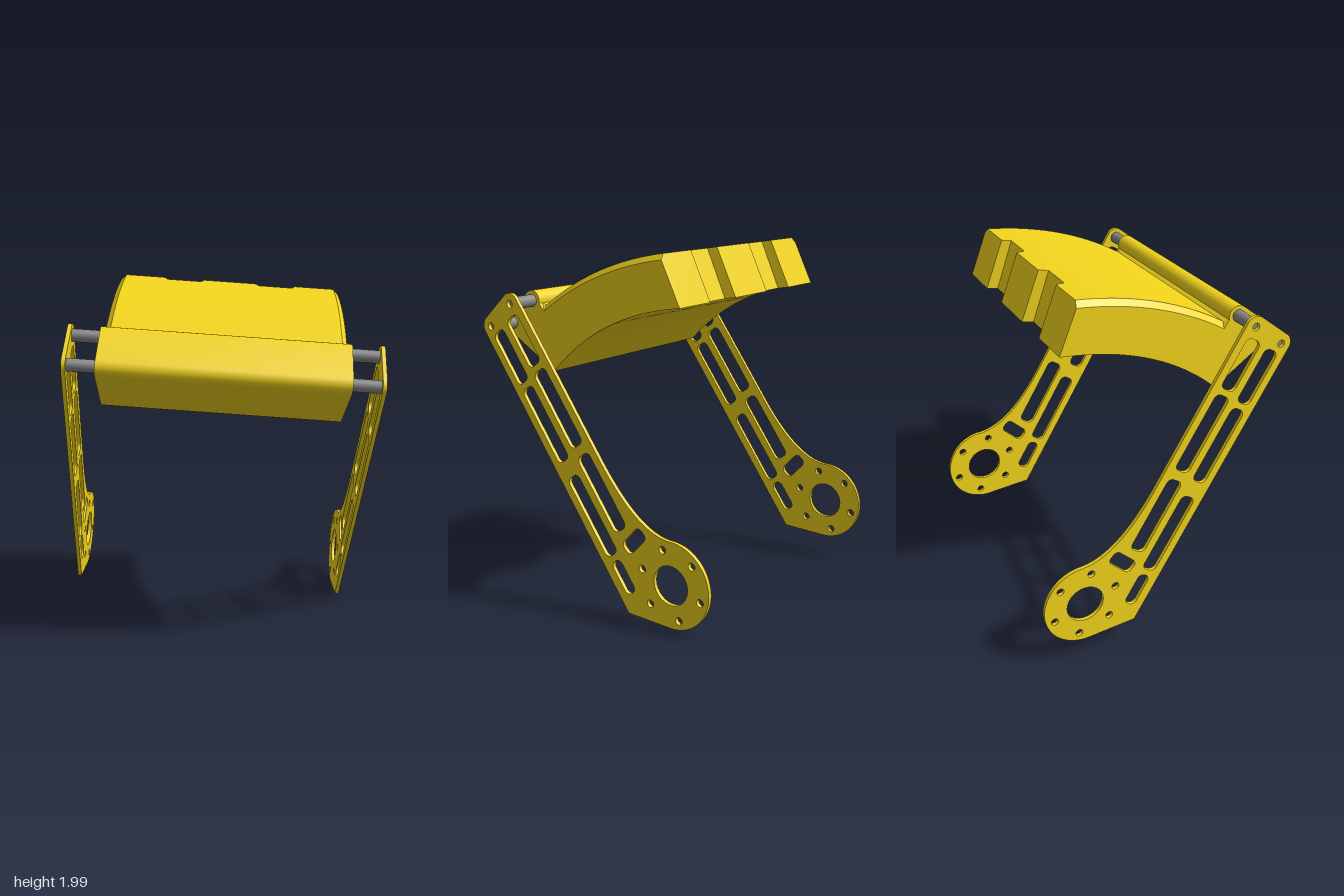
import * as THREE from 'three';
import { toCreasedNormals } from 'three/addons/utils/BufferGeometryUtils.js';

const yellow = new THREE.MeshStandardMaterial({ color: 0xf2d41c });
const grey = new THREE.MeshStandardMaterial({ color: 0x888888 });

// Side profiles are drawn in (s, v): s points to the back (-z), v points up.
const V = (x, y) => new THREE.Vector2(x, y);
const rad = THREE.MathUtils.degToRad;
const rodLow = V(-0.675, 1.513), rodHigh = V(-0.516, 1.642);
const hub = V(0.495, 0.24);
const ALONG = rad(-57.4); // direction of the arm, from the rods down to the hub
const HALF_SPAN = 0.8225, THICK = 0.022, PAD_HALF = 0.653;

function roundHole(x, y, r) {
  return new THREE.Path().absarc(x, y, r, 0, Math.PI * 2, false);
}

// Rounded slot around a centre, turned by an angle
function slot(c, angle, length, width, r) {
  const path = new THREE.Path();
  const corners = [[1, 1], [-1, 1], [-1, -1], [1, -1]];
  corners.forEach(([a, b], i) => {
    const p = V(a * (length / 2 - r), b * (width / 2 - r)).rotateAround(V(0, 0), angle).add(c);
    const start = angle + i * Math.PI / 2;
    path.absarc(p.x, p.y, r, start, start + Math.PI / 2, false);
  });
  path.closePath();
  return path;
}

// Point on the arm: t along it, n across it, from the lower rod
function onArm(t, n) {
  return V(t, -0 + n).rotateAround(V(0, 0), ALONG).add(rodLow);
}

function armGeometry() {
  const s = new THREE.Shape();
  s.moveTo(0.205, 0.025);
  s.lineTo(0.495, 0.003);
  s.absarc(hub.x, hub.y, 0.237, -Math.PI / 2, Math.PI / 2, false);
  s.bezierCurveTo(0.336, 0.49, 0.188, 0.649, 0.056, 0.856);
  s.absarc(rodHigh.x, rodHigh.y, 0.058, rad(32.6), rad(129), false);
  s.absarc(rodLow.x, rodLow.y, 0.058, rad(129), rad(212.6), false);
  s.closePath();

  // Lightening slots: start, end, offset across, width
  const slots = [
    [0.05, 0.37, 0.03, 0.088], [0.04, 0.335, 0.168, 0.095],
    [0.405, 0.855, 0.03, 0.088], [0.37, 0.83, 0.168, 0.095],
    [0.95, 1.42, 0.03, 0.088], [0.885, 1.33, 0.168, 0.095],
    [1.455, 1.645, 0.028, 0.072],
  ];
  for (const [t0, t1, n, w] of slots) {
    s.holes.push(slot(onArm((t0 + t1) / 2, n), ALONG, t1 - t0, w, 0.032));
  }
  s.holes.push(slot(V(0.268, 0.437), rad(44), 0.165, 0.078, 0.03));

  // Hub opening with its bolt circle, and the rod screws
  s.holes.push(roundHole(hub.x, hub.y, 0.107));
  for (let i = 0; i < 6; i++) {
    const a = rad(43 + 60 * i);
    s.holes.push(roundHole(hub.x + 0.189 * Math.cos(a), hub.y + 0.189 * Math.sin(a), 0.021));
  }
  for (const p of [rodLow, rodHigh]) s.holes.push(roundHole(p.x, p.y, 0.021));

  const g = new THREE.ExtrudeGeometry(s, { depth: THICK, bevelEnabled: false, curveSegments: 16 });
  g.rotateY(Math.PI / 2);
  return toCreasedNormals(g, 0.6);
}

// Pad cross-section; inset shortens the rear end, chamfer lowers the upper edge
function padSection(inset, chamfer) {
  const under = new THREE.QuadraticBezierCurve(V(-0.384, 1.255), V(-0.031, 1.59), V(0.5, 1.633));
  const over = new THREE.QuadraticBezierCurve(V(-0.44, 1.615), V(-0.07, 1.853), V(0.39, 1.9));
  const pts = [];
  const N = 20, end = 1 - inset;
  for (let i = 0; i <= N; i++) pts.push(under.getPoint(end * i / N));
  for (let i = N; i >= 0; i--) {
    pts.push(over.getPoint(end * i / N).add(V(chamfer * 0.3, -chamfer)));
  }
  const arc = (c, a0, a1) => {
    for (let i = 0; i <= 10; i++) {
      const a = rad(a0 + (a1 - a0) * i / 10);
      pts.push(V(c.x + 0.056 * Math.cos(a), c.y + 0.056 * Math.sin(a)));
    }
  };
  arc(rodHigh, -15, 129);
  arc(rodLow, 129, 235);
  return pts;
}

function padGeometry() {
  // Stations across the right half: position, rear inset, chamfer
  const half = [
    [0.155, 0, 0], [0.172, 0.055, 0], [0.373, 0.055, 0],
    [0.39, 0, 0], [PAD_HALF - 0.03, 0, 0], [PAD_HALF, 0, 0.03],
  ];
  const stations = [...half.map(([u, e, c]) => [-u, e, c]).reverse(), ...half];
  const rings = stations.map(([, e, c]) => padSection(e, c));
  const n = rings[0].length;
  const pos = [], index = [];
  rings.forEach((ring, i) => ring.forEach((p) => pos.push(stations[i][0], p.y, -p.x)));
  for (let i = 0; i < rings.length - 1; i++) {
    for (let j = 0; j < n; j++) {
      const a = i * n + j, b = i * n + (j + 1) % n;
      index.push(a, b, a + n, b, b + n, a + n);
    }
  }
  // End caps
  const last = (rings.length - 1) * n;
  for (const [a, b, c] of THREE.ShapeUtils.triangulateShape(rings[0], [])) {
    index.push(a, c, b, last + a, last + b, last + c);
  }
  const g = new THREE.BufferGeometry();
  g.setAttribute('position', new THREE.Float32BufferAttribute(pos, 3));
  g.setIndex(index);
  return toCreasedNormals(g, 0.5);
}

export function createModel() {
  const model = new THREE.Group();
  model.name = 'padOnArms';

  const add = (name, geometry, material) => {
    const m = new THREE.Mesh(geometry, material);
    m.name = name;
    model.add(m);
    return m;
  };

  // Flat side arms
  const arm = armGeometry();
  add('leftArm', arm, yellow).position.x = HALF_SPAN - THICK;
  add('rightArm', arm, yellow).position.x = -HALF_SPAN;

  // Curved pad with a rolled front edge and two rear channels
  add('pad', padGeometry(), yellow);

  // Cross rods
  const rod = new THREE.CylinderGeometry(0.034, 0.034, 2 * (HALF_SPAN - THICK), 32).rotateZ(Math.PI / 2);
  add('lowerRod', rod, grey).position.set(0, rodLow.y, -rodLow.x);
  add('upperRod', rod, grey).position.set(0, rodHigh.y, -rodHigh.x);

  // The whole assembly leans sideways
  model.rotation.z = rad(-4);
  model.position.set(-0.0625, 0.0574, 0);

  const root = new THREE.Group();
  root.name = 'model';
  root.add(model);
  return root;
}
